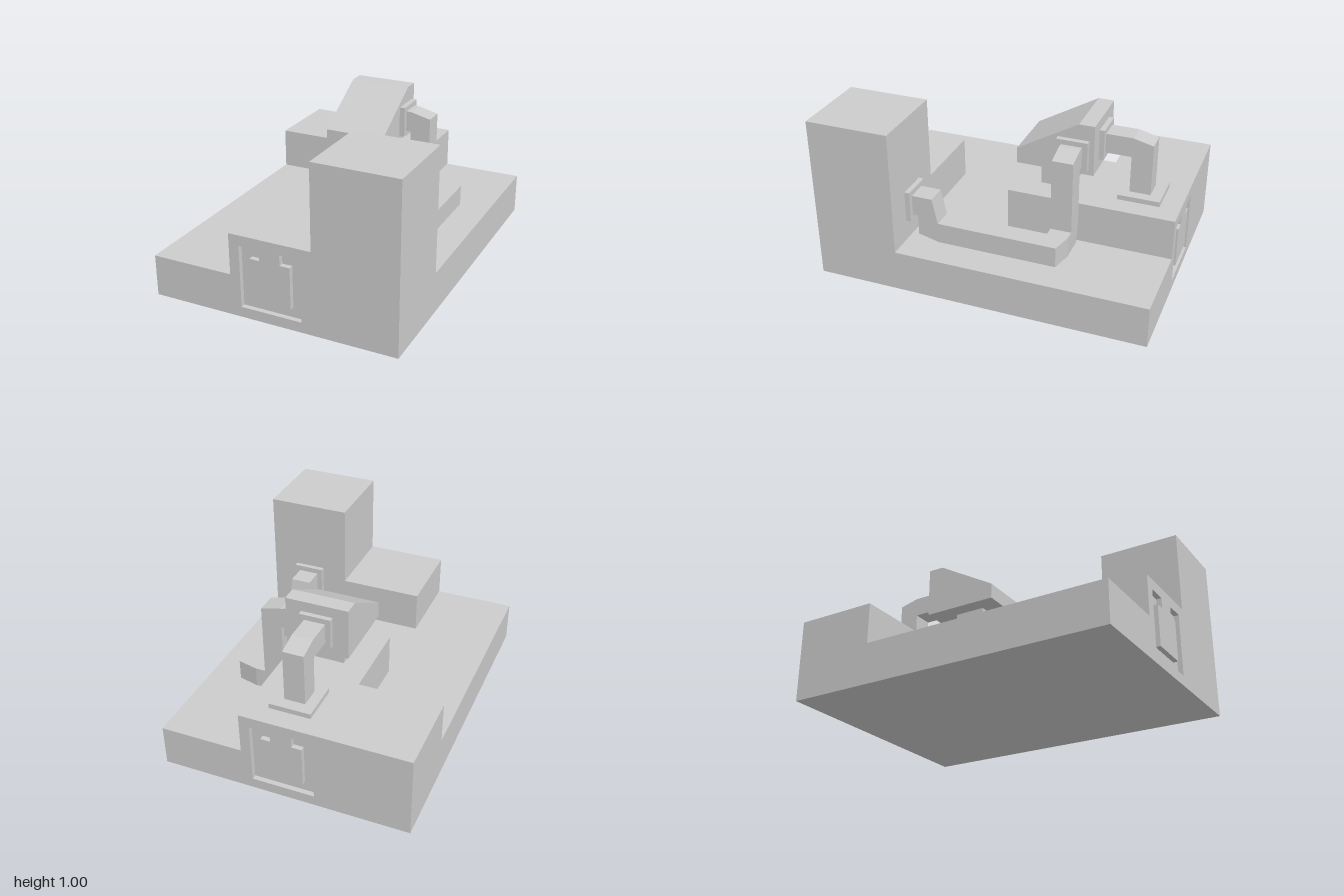
import * as THREE from 'three';

const material = new THREE.MeshStandardMaterial({ color: 0xcccccc, flatShading: true });

export function createModel() {
  const model = new THREE.Group();
  model.name = 'steppedPlant';

  function add(name, geometry, parent = model) {
    const mesh = new THREE.Mesh(geometry, material);
    mesh.name = name;
    parent.add(mesh);
    return mesh;
  }

  // Box given by its lower and upper limits on each axis
  function box(name, [x0, x1], [y0, y1], [z0, z1], parent) {
    const g = new THREE.BoxGeometry(x1 - x0, y1 - y0, z1 - z0);
    g.translate((x0 + x1) / 2, (y0 + y1) / 2, (z0 + z1) / 2);
    return add(name, g, parent);
  }

  // Outline extruded between two limits on an axis.
  // Points are [x, y] for axis z, [z, y] for axis x, [x, z] for axis y.
  function prism(name, axis, points, [from, to], parent, hole) {
    const toVec = ([a, b]) =>
      new THREE.Vector2(axis === 'x' ? -a : a, axis === 'y' ? -b : b);
    const shape = new THREE.Shape(points.map(toVec));
    if (hole) shape.holes.push(new THREE.Path(hole.map(toVec)));
    const g = new THREE.ExtrudeGeometry(shape, { depth: to - from, bevelEnabled: false });
    g.translate(0, 0, from);
    if (axis === 'x') g.rotateY(Math.PI / 2);
    if (axis === 'y') g.rotateX(-Math.PI / 2);
    return add(name, g, parent);
  }

  // Stepped base: front and back masses with a shallow groove in their end faces
  const frontOutline = [[-0.75, 0], [0.75, 0], [0.75, 1], [0.25, 1], [0.25, 0.5],
    [-0.25, 0.5], [-0.25, 0.25], [-0.75, 0.25]];
  const backOutline = [[-0.75, 0], [0.75, 0], [0.75, 0.25], [0.25, 0.25],
    [0.25, 0.5], [-0.75, 0.5]];
  const halfGroove = [[0.0625, 0.4375], [0.0625, 0.375], [0.1225, 0.375], [0.1225, 0.125]];
  const mirrored = (pts) => pts.map(([x, y]) => [-x, y]).reverse();
  const groove = [...halfGroove, ...mirrored(halfGroove),
    [-0.1875, 0.4375], [-0.1875, 0.0625], [0.1875, 0.0625], [0.1875, 0.4375]];

  const base = new THREE.Group();
  base.name = 'base';
  model.add(base);
  const depth = 0.03;
  prism('frontMass', 'z', frontOutline, [0.5, 1 - depth], base);
  prism('frontGroovedFace', 'z', frontOutline, [1 - depth, 1], base, groove);
  prism('backMass', 'z', backOutline, [-1 + depth, -0.5], base);
  prism('backGroovedFace', 'z', backOutline, [-1, -1 + depth], base, groove);
  box('middleSlab', [-0.75, 0.75], [0, 0.25], [-0.5, 0.5], base);
  box('middleStep', [-0.25, 0.25], [0.25, 0.5], [-0.5, 0], base);

  // Machine with a sloping hood on a square post
  box('machinePost', [-0.095, 0.095], [0.5, 0.66], [-0.345, -0.155]);
  prism('machineHood', 'x', [[-0.035, 0.66], [-0.035, 0.755], [-0.405, 0.97],
    [-0.5, 0.97], [-0.5, 0.66]], [-0.1875, 0.1875]);

  // Back pipe from the hood down to the rear step
  const backPipe = new THREE.Group();
  backPipe.name = 'backPipe';
  model.add(backPipe);
  box('hoodFlange', [-0.094, 0.094], [0.72, 0.907], [-0.53, -0.5], backPipe);
  box('floorFlange', [-0.125, 0.125], [0.5, 0.53], [-0.88, -0.63], backPipe);
  prism('pipe', 'x', [[-0.53, 0.875], [-0.69, 0.875], [-0.81, 0.845], [-0.81, 0.53],
    [-0.685, 0.53], [-0.685, 0.755], [-0.53, 0.755]], [-0.0625, 0.0625], backPipe);

  // Side pipe from the hood, down to the floor and along to the tower
  const sidePipe = new THREE.Group();
  sidePipe.name = 'sidePipe';
  model.add(sidePipe);
  box('hoodFlange', [0.1875, 0.22], [0.69, 0.875], [-0.47, -0.283], sidePipe);
  prism('downPipe', 'z', [[0.22, 0.845], [0.25, 0.845], [0.375, 0.815], [0.375, 0.375],
    [0.435, 0.375], [0.435, 0.25], [0.28, 0.25], [0.25, 0.375], [0.25, 0.72],
    [0.22, 0.72]], [-0.4375, -0.3125], sidePipe);
  prism('floorCorner', 'y', [[0.435, -0.4375], [0.56, -0.407], [0.56, -0.3125],
    [0.435, -0.3125]], [0.25, 0.375], sidePipe);
  prism('floorPipe', 'x', [[-0.3125, 0.25], [0.3125, 0.25], [0.4375, 0.282],
    [0.4375, 0.405], [0.47, 0.405], [0.47, 0.53], [0.345, 0.53], [0.3125, 0.375],
    [-0.3125, 0.375]], [0.435, 0.56], sidePipe);
  box('towerFlange', [0.404, 0.591], [0.375, 0.563], [0.47, 0.5], sidePipe);

  return model;
}
